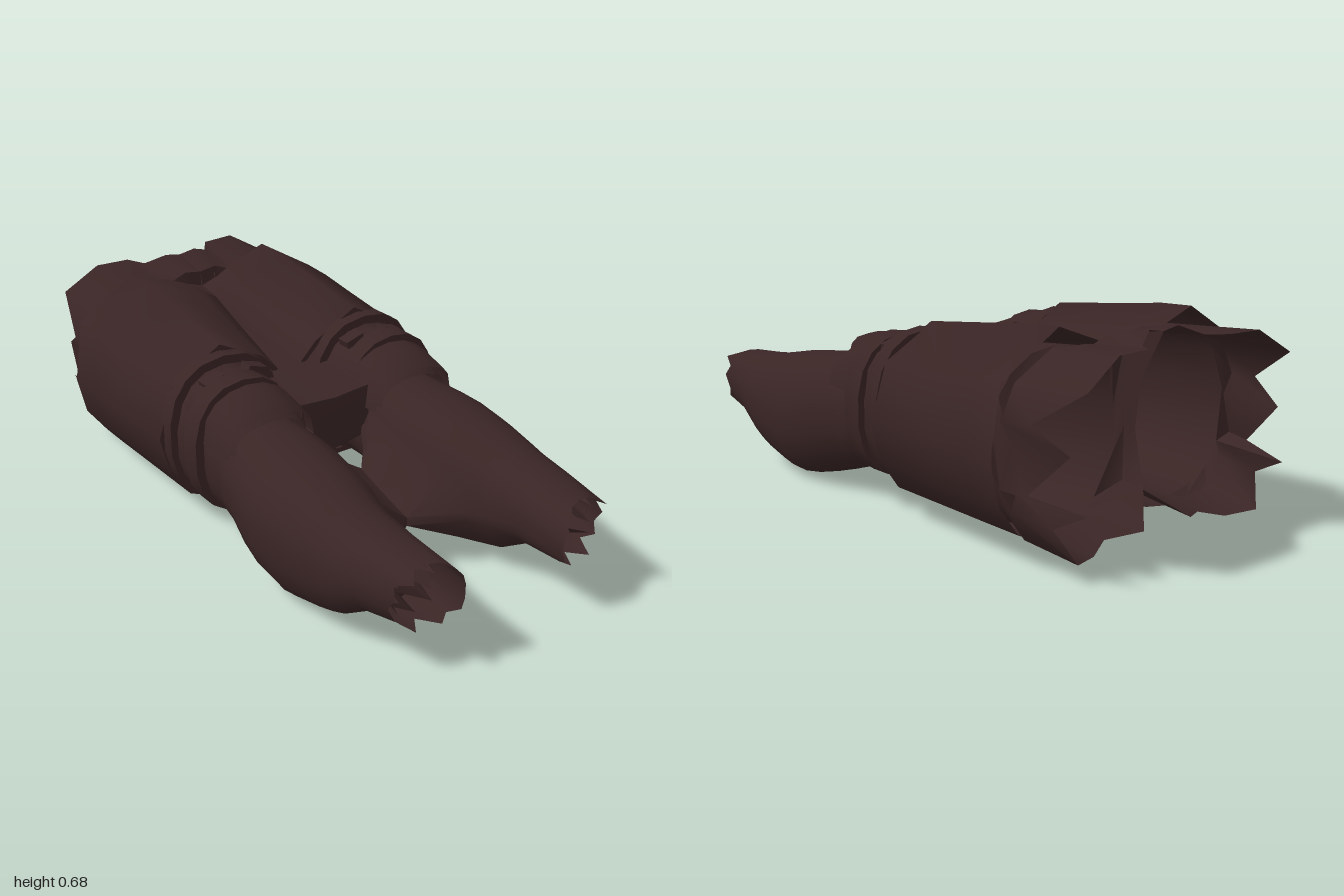
import * as THREE from 'three';
import { toCreasedNormals } from 'three/addons/utils/BufferGeometryUtils.js';

const darkBrown = new THREE.MeshStandardMaterial({ color: 0x3a2525, side: THREE.DoubleSide });
darkBrown.name = 'darkBrown';

// Skin a list of closed rings, each a list of [x, y, z]
function loft(rings, crease = 0.75) {
  const n = rings[0].length, index = [];
  for (let r = 0; r < rings.length - 1; r++) {
    for (let i = 0; i < n; i++) {
      const a = r * n + i, b = r * n + (i + 1) % n;
      index.push(a, a + n, b, b, a + n, b + n);
    }
  }
  const g = new THREE.BufferGeometry();
  g.setAttribute('position', new THREE.Float32BufferAttribute(rings.flat(2), 3));
  g.setIndex(index);
  return toCreasedNormals(g, crease);
}

function add(group, name, geometry) {
  const mesh = new THREE.Mesh(geometry, darkBrown);
  mesh.name = name;
  group.add(mesh);
  return mesh;
}

// Rounded 18-sided section, clockwise from the inner side, in the unit square
const ROUND = Array.from({ length: 18 }, (_, i) => {
  const a = (170 - i * 20) * Math.PI / 180;
  const p = (v) => 0.5 + 0.5 * Math.sign(v) * Math.pow(Math.abs(v), 0.85);
  return [p(Math.cos(a)), p(Math.sin(a))];
});
const fit = (z, x0, x1, y0, y1) => ROUND.map(([u, v]) => [x0 + u * (x1 - x0), y0 + v * (y1 - y0), z]);

// Torn upper end of the leg
const TORN = [
  [0, 0.655, -0.86], [0.06, 0.665, -0.86], [0.13, 0.635, -0.9], [0.17, 0.64, -0.96],
  [0.29, 0.64, -0.97], [0.42, 0.56, -0.985], [0.47, 0.45, -0.82], [0.435, 0.38, -0.94],
  [0.47, 0.24, -0.8], [0.41, 0.22, -0.985], [0.43, 0.16, -0.87], [0.38, 0.06, -0.92],
  [0.28, 0.05, -0.88], [0.2, 0.07, -0.84], [0.1, 0.09, -0.9], [0, 0.17, -0.8],
  [0, 0.35, -0.76], [0, 0.5, -0.78],
];
const tornFit = (z, sx, y0, y1) => TORN.map(([x, y]) =>
  [x * sx, y0 + (y - 0.05) / 0.615 * (y1 - y0), z]);

// Thigh cover sections at its two ends
const COVER_BACK = [[0, 0.58], [0.06, 0.6], [0.275, 0.68], [0.49, 0.55], [0.525, 0.335], [0.495, 0.2],
  [0.42, 0.1], [0.33, 0.06], [0.2, 0.06], [0.1, 0.075], [0, 0.15], [0, 0.36]];
const COVER_FRONT = [[0.05, 0.47], [0.11, 0.53], [0.275, 0.615], [0.46, 0.51], [0.515, 0.335], [0.48, 0.2],
  [0.41, 0.1], [0.32, 0.06], [0.2, 0.06], [0.12, 0.1], [0.06, 0.2], [0.04, 0.36]];
const coverRing = (z, t, inset = 1) => COVER_BACK.map(([x, y], i) => {
  const [fx, fy] = COVER_FRONT[i];
  return [0.28 + (x + (fx - x) * t - 0.28) * inset, 0.33 + (y + (fy - y) * t - 0.33) * inset, z];
});

// Solid band around the leg, slightly thicker than what it wraps
function band(z0, z1, x0, x1, y0, y1, d = 0.025) {
  const inner = (z) => fit(z, x0 + d, x1 - d, y0 + d, y1 - d);
  const outer = (z) => fit(z, x0, x1, y0, y1);
  return loft([inner(z0), outer(z0), outer(z1), inner(z1)]);
}

// Calf ring; a thin web on the inner side reaches out to wedgeX at height wedgeY
function calfRing(z, x0, x1, y0, y1, wedgeX, wedgeY) {
  const ring = fit(z, x0, x1, y0, y1);
  ring[17] = [wedgeX, wedgeY, z];
  ring[16] = [wedgeX, wedgeY - 0.03, z];
  return ring;
}

function buildLeg() {
  const leg = new THREE.Group();

  // Inner thigh, torn at the back and narrowing to the knee
  add(leg, 'innerThigh', loft([
    TORN,
    tornFit(-0.715, 1.035, 0.07, 0.64),
    fit(-0.68, 0.01, 0.49, 0.08, 0.62),
    fit(-0.4, 0.035, 0.495, 0.08, 0.595),
    fit(-0.14, 0.09, 0.475, 0.105, 0.555),
    fit(0, 0.12, 0.455, 0.115, 0.51),
    fit(0.17, 0.125, 0.447, 0.085, 0.45),
  ], 1));

  // Thigh cover with a turned-in front rim
  add(leg, 'thighCover', loft([
    coverRing(-0.72, 0), coverRing(-0.6, 0.1), coverRing(-0.43, 0.45),
    coverRing(-0.14, 1), coverRing(-0.14, 1, 0.93),
  ], 1.2));

  // Stepped collar and knee strap
  add(leg, 'thighCollar', band(-0.15, -0.095, 0.075, 0.5, 0.095, 0.595, 0.03));
  add(leg, 'innerCollar', band(-0.1, -0.05, 0.1, 0.475, 0.11, 0.545));
  add(leg, 'kneeStrap', band(-0.035, 0.04, 0.115, 0.487, 0.1, 0.565, 0.03));
  for (const x of [0.2, 0.36]) {
    const tab = add(leg, 'strapTab', new THREE.BoxGeometry(0.07, 0.025, 0.05));
    tab.position.set(x, x < 0.3 ? 0.545 : 0.54, -0.055);
    tab.rotation.z = x < 0.3 ? 0.3 : -0.3;
  }

  // Knee plate: upper part of the section as a closed arch
  const arch = (z, x0, x1, low, top, d) => {
    const out = [];
    for (let i = 0; i <= 8; i++) {
      const a = Math.PI * (1 - i / 8);
      out.push([(x0 + x1) / 2 + Math.cos(a) * ((x1 - x0) / 2 - d), low + Math.pow(Math.sin(a), 0.7) * (top - low - d), z]);
    }
    return out;
  };
  const plateRing = (z, x0, x1, low, top) =>
    [...arch(z, x0, x1, low, top, 0), ...arch(z, x0, x1, low, top, 0.025).reverse()];
  add(leg, 'kneePlate', loft([
    plateRing(0.18, 0.125, 0.45, 0.38, 0.495), plateRing(0.15, 0.122, 0.453, 0.38, 0.515),
    plateRing(0.08, 0.12, 0.455, 0.38, 0.54), plateRing(-0.08, 0.12, 0.46, 0.38, 0.555),
  ]));

  // Calf, torn open at the ankle
  const jag = [0, 0, -0.01, -0.04, -0.05, -0.05, -0.01, -0.07, -0.05, -0.08, -0.06, -0.1, -0.03, -0.09, -0.02, -0.04, 0, 0];
  const ankle = fit(1, 0.19, 0.405, 0.15, 0.355).map(([x, y, z], i) => [x, y, z + jag[i]]);
  add(leg, 'calf', loft([
    calfRing(0.1, 0.125, 0.447, 0.1, 0.46, 0.125, 0.27),
    calfRing(0.17, 0.12, 0.452, 0.075, 0.458, 0.085, 0.265),
    calfRing(0.27, 0.105, 0.478, 0.042, 0.452, 0, 0.25),
    calfRing(0.36, 0.105, 0.49, 0.015, 0.445, 0, 0.22),
    calfRing(0.45, 0.115, 0.487, 0, 0.433, 0, 0.195),
    calfRing(0.51, 0.125, 0.482, 0.012, 0.423, 0, 0.18),
    calfRing(0.62, 0.16, 0.465, 0.037, 0.4, 0.15, 0.2),
    calfRing(0.68, 0.17, 0.455, 0.055, 0.388, 0.168, 0.21),
    calfRing(0.8, 0.185, 0.435, 0.135, 0.372, 0.187, 0.23),
    ankle,
  ], 1));

  // Ragged shreds folded back inside the ankle opening
  const ragged = (z, x0, x1, y0, y1, dz) => fit(z, x0, x1, y0, y1).map(([x, y], i) =>
    [x + (i % 3 - 1) * 0.012, y, z + (i % 2 ? dz : -dz)]);
  add(leg, 'ankleShreds', loft([
    fit(0.8, 0.185, 0.433, 0.137, 0.37),
    ragged(0.88, 0.24, 0.385, 0.19, 0.325, 0.05),
    ragged(0.78, 0.325, 0.38, 0.26, 0.33, 0.03),
  ], 0.5));
  return leg;
}

export function createModel() {
  const model = new THREE.Group();
  model.name = 'legs';
  const left = buildLeg();
  left.name = 'leftLeg';
  const right = buildLeg();
  right.name = 'rightLeg';
  right.scale.x = -1;
  model.add(left, right);

  // Thin cloth bridge: runs forward between the thighs, then folds down between the knees
  const clothRow = (z, w, side, middle, dy, dz) => [
    [-w, side, z], [0, middle, z], [w, side, z],
    [w, side - dy, z - dz], [0, middle - dy, z - dz], [-w, side - dy, z - dz],
  ];
  add(model, 'clothBridge', loft([
    clothRow(-0.7, 0.02, 0.57, 0.56, 0.008, 0),
    clothRow(-0.5, 0.07, 0.5, 0.49, 0.008, 0),
    clothRow(-0.2, 0.11, 0.47, 0.46, 0.008, 0),
    clothRow(0.03, 0.14, 0.465, 0.455, 0.008, 0),
    clothRow(0.125, 0.135, 0.46, 0.45, 0.006, 0.006),
    clothRow(0.13, 0.135, 0.36, 0.38, 0, 0.008),
    clothRow(0.11, 0.135, 0.27, 0.25, 0, 0.008),
  ]));
  return model;
}
